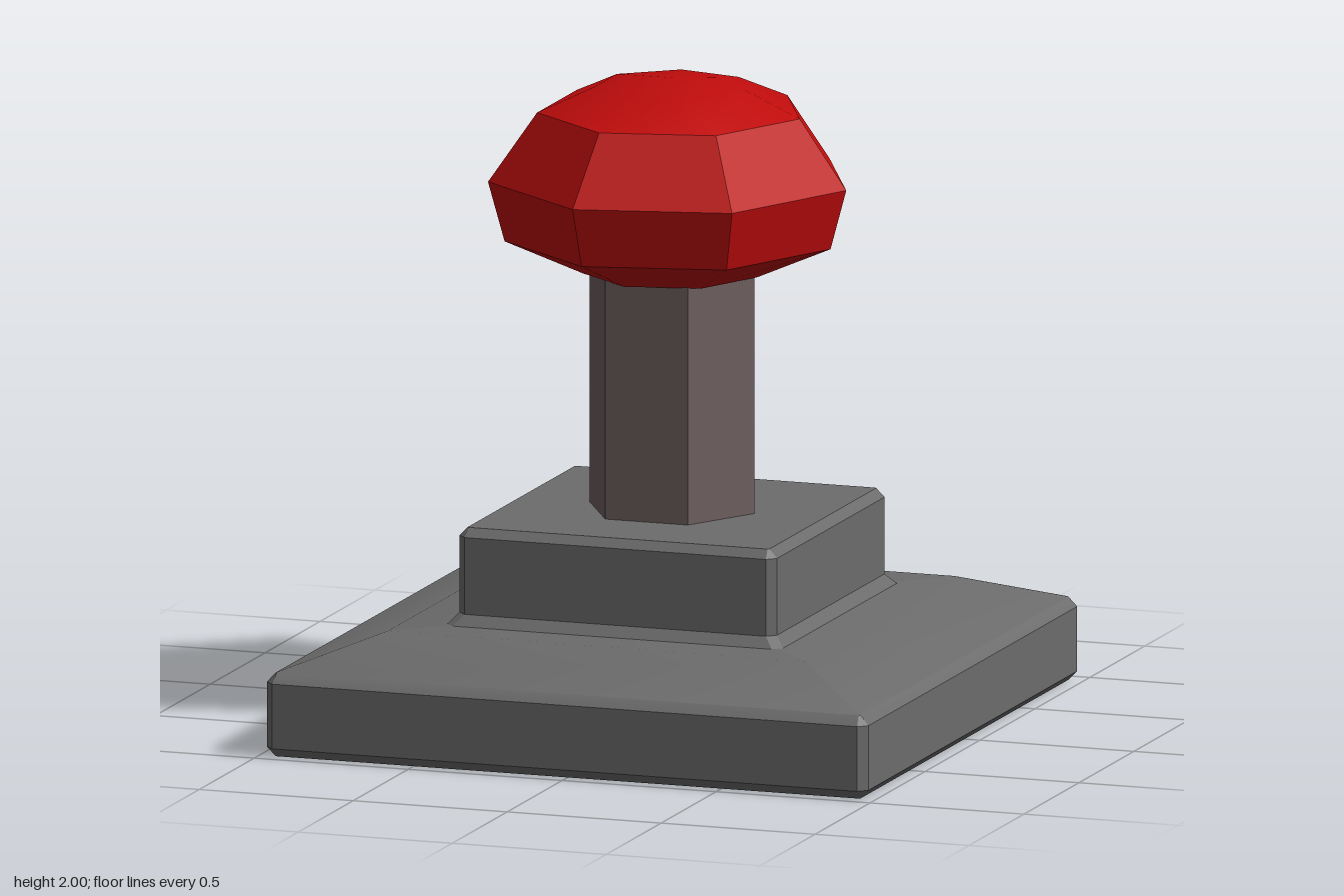
import * as THREE from 'three';
import { toCreasedNormals } from 'three/addons/utils/BufferGeometryUtils.js';

// Regular polygon ring with a corner on +x, counter-clockwise seen from above
function polygon(sides, r, y) {
  return Array.from({ length: sides }, (_, i) => {
    const a = (i / sides) * Math.PI * 2;
    return [r * Math.cos(a), y, -r * Math.sin(a)];
  });
}

// Square ring of half-width h with its corners cut by c
function square(h, y, c) {
  const k = h - c;
  return [[h, k], [h, -k], [k, -h], [-k, -h], [-h, -k], [-h, k], [-k, h], [k, h]]
    .map(([x, z]) => [x, y, z]);
}

// Closed skin over rings from bottom to top; topY is the height of the cap centre
function loft(rings, topY) {
  const n = rings[0].length;
  const points = rings.flat();
  const index = [];
  const bottom = points.length;
  const top = bottom + 1;
  const last = (rings.length - 1) * n;
  points.push([0, rings[0][0][1], 0], [0, topY, 0]);
  for (let i = 0; i < n; i++) {
    const j = (i + 1) % n;
    for (let s = 0; s < last; s += n) {
      index.push(s + i, s + j, s + n + j, s + i, s + n + j, s + n + i);
    }
    index.push(bottom, j, i, top, last + i, last + j);
  }
  const geometry = new THREE.BufferGeometry();
  geometry.setAttribute('position', new THREE.Float32BufferAttribute(points.flat(), 3));
  geometry.setIndex(index);
  return toCreasedNormals(geometry, 0.5);
}

export function createModel() {
  const model = new THREE.Group();
  const add = (name, color, geometry) => {
    const mesh = new THREE.Mesh(geometry, new THREE.MeshStandardMaterial({ color }));
    mesh.name = name;
    model.add(mesh);
  };
  const squares = (rows) => rows.map(([h, y, c]) => square(h, y, c));

  // Wide bevelled slab with a sloping upper face
  add('base', 0x6c6c6c, loft(squares([
    [0.95, 0, 0.005], [0.977, 0.028, 0.027], [0.977, 0.23, 0.027],
    [0.95, 0.26, 0.005], [0.68, 0.357, 0.005],
  ]), 0.357));

  // Raised block with a flared foot and bevelled top
  add('pedestal', 0x6c6c6c, loft(squares([
    [0.547, 0.355, 0.027], [0.516, 0.39, 0.027],
    [0.516, 0.63, 0.027], [0.49, 0.657, 0.005],
  ]), 0.657));

  // Six-sided stem
  add('stem', 0x6f5f5f, loft([polygon(6, 0.268, 0.65), polygon(6, 0.268, 1.41)], 1.41));

  // Seven-sided faceted knob
  const profile = [[0.275, 1.395], [0.515, 1.5], [0.566, 1.687], [0.415, 1.9], [0.24, 1.976]];
  add('knob', 0xc00c0c, loft(profile.map(([r, y]) => polygon(7, r, y)), 2));

  return model;
}
